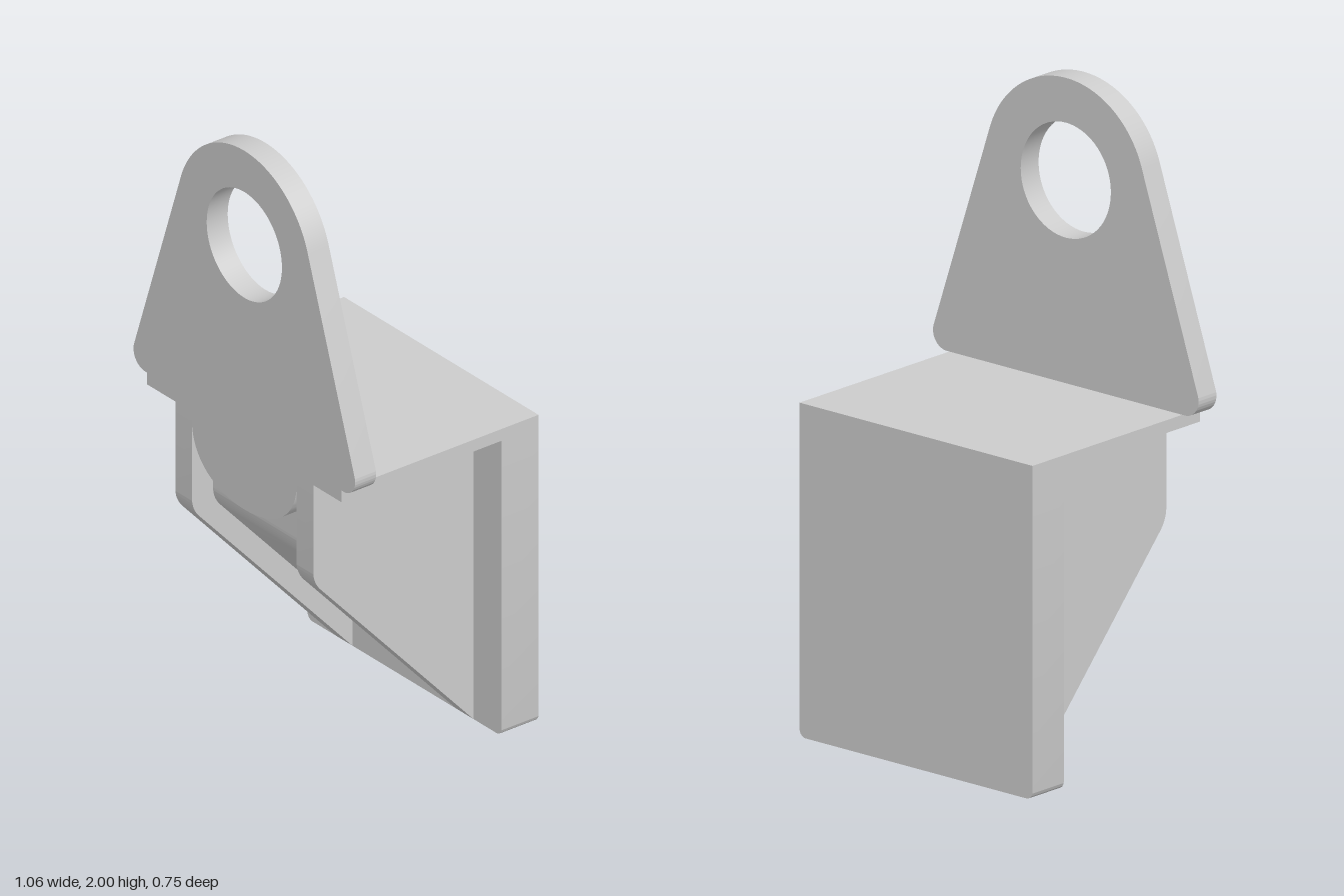
import * as THREE from 'three';
import { toCreasedNormals } from 'three/addons/utils/BufferGeometryUtils.js';

const material = new THREE.MeshStandardMaterial({ color: 0xcccccc });
const HALF = 0.465, FRONT = 0.375, BACK = -0.375;
const WALL = -0.235;       // front face of the back plate
const SHEET = 0.08;        // thickness of lug, tab and ribs
const INNER = 0.25;        // inner face of the ribs
const SHELF = 1.005, TOP = 1.045;

export function createModel() {
  const group = new THREE.Group();

  const add = (name, geometry, x = 0, y = 0, z = 0) => {
    const mesh = new THREE.Mesh(geometry, material);
    mesh.name = name;
    mesh.position.set(x, y, z);
    group.add(mesh);
  };
  const extrude = (shape, depth) => toCreasedNormals(
    new THREE.ExtrudeGeometry(shape, { depth, bevelEnabled: false, curveSegments: 32 }), 0.5);

  // Side profile (z, y) with a rounded bend, extruded across x and centred
  const gusset = (front, lift, width) => {
    const bend = lift + 1.1 * (front - WALL);
    const s = new THREE.Shape();
    s.moveTo(WALL, lift);
    s.lineTo(front - 0.028, bend - 0.031);
    s.quadraticCurveTo(front, bend, front, bend + 0.038);
    s.lineTo(front, SHELF);
    s.lineTo(WALL, SHELF);
    s.closePath();
    return extrude(s, width).translate(0, 0, -width / 2).rotateY(-Math.PI / 2);
  };

  // Back plate with rounded lower corners
  const r = 0.025;
  const plate = new THREE.Shape();
  plate.moveTo(-HALF, TOP);
  plate.lineTo(-HALF, r);
  plate.absarc(-HALF + r, r, r, Math.PI, 1.5 * Math.PI);
  plate.absarc(HALF - r, r, r, -Math.PI / 2, 0);
  plate.lineTo(HALF, TOP);
  plate.closePath();
  add('backPlate', extrude(plate, WALL - BACK), 0, 0, BACK);

  // Shelf on top
  add('topPlate', new THREE.BoxGeometry(2 * HALF, TOP - SHELF, FRONT - WALL),
    0, (TOP + SHELF) / 2, (FRONT + WALL) / 2);

  // Side ribs and the recessed core between them
  for (const [name, side] of [['leftRib', 1], ['rightRib', -1]]) {
    add(name, gusset(FRONT, 0, SHEET), side * (INNER + SHEET / 2));
  }
  add('core', gusset(FRONT - SHEET, 0.1, 2 * INNER));

  // Curved tab below the shelf, in front of the core
  const tab = new THREE.Shape();
  tab.moveTo(-INNER, SHELF);
  tab.lineTo(-INNER, 0.96);
  tab.bezierCurveTo(-0.24, 0.84, -0.13, 0.78, 0, 0.78);
  tab.bezierCurveTo(0.13, 0.78, 0.24, 0.84, INNER, 0.96);
  tab.lineTo(INNER, SHELF);
  tab.closePath();
  add('frontTab', extrude(tab, SHEET), 0, 0, FRONT - SHEET);

  // Tapered lug with a round eye
  const a = 0.3215;
  const lug = new THREE.Shape();
  lug.absarc(0, 1.68, 0.32, a, Math.PI - a);
  lug.absarc(-0.475, 1.1, 0.055, Math.PI - a, 1.5 * Math.PI);
  lug.absarc(0.475, 1.1, 0.055, -Math.PI / 2, a);
  lug.closePath();
  lug.holes.push(new THREE.Path().absarc(0, 1.68, 0.18, 0, 2 * Math.PI, true));
  add('lug', extrude(lug, SHEET), 0, 0, FRONT - SHEET);

  return group;
}
